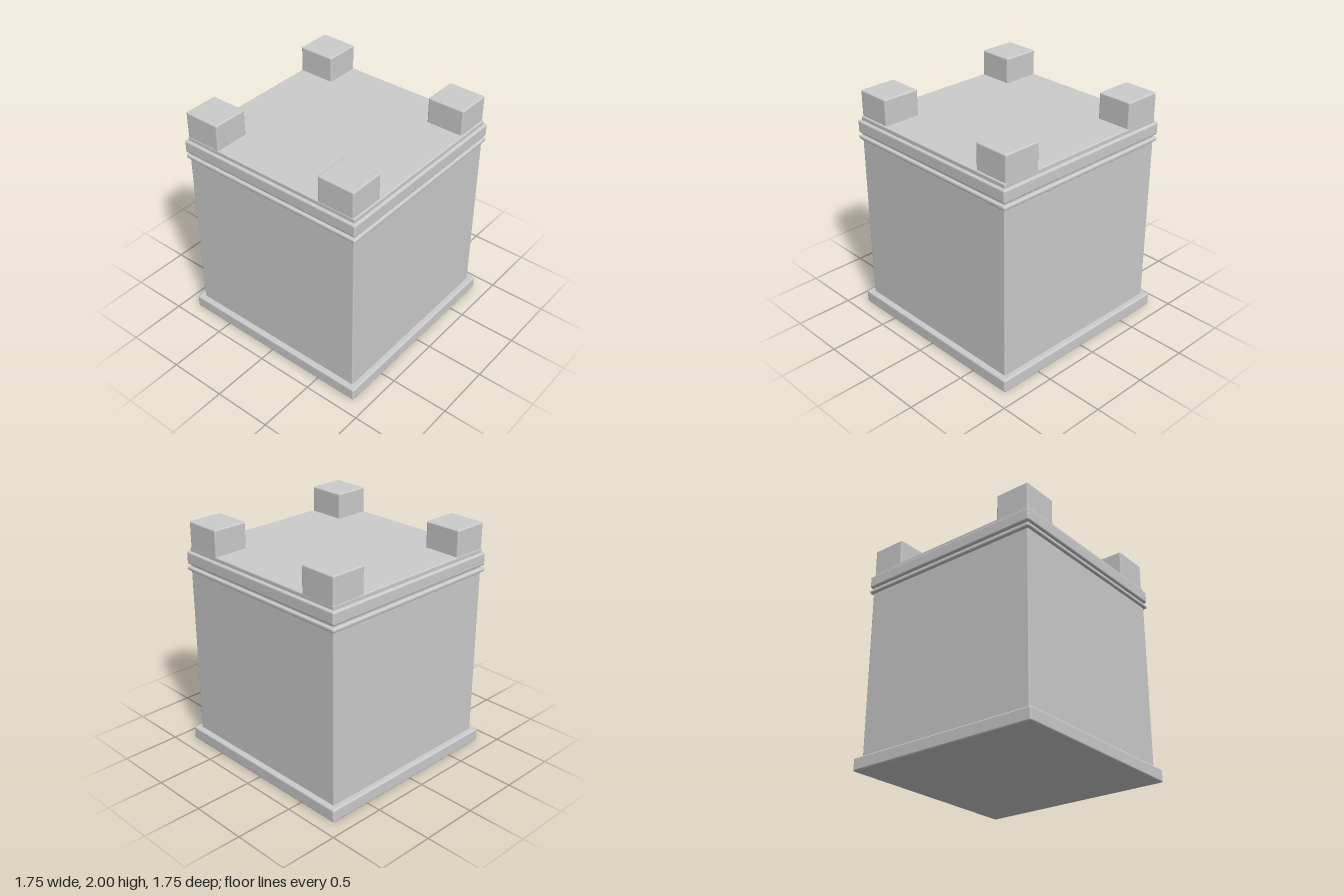
import * as THREE from 'three';
import { RoundedBoxGeometry } from 'three/addons/geometries/RoundedBoxGeometry.js';

export function createModel() {
  const model = new THREE.Group();
  model.name = 'cornerPostBox';
  const material = new THREE.MeshStandardMaterial({ color: 0xcccccc });

  // Soft-edged block spanning y0 to y1, centred on (x, z)
  function block(name, width, depth, y0, y1, radius, x = 0, z = 0) {
    const geometry = new RoundedBoxGeometry(width, y1 - y0, depth, 3, radius);
    const mesh = new THREE.Mesh(geometry, material);
    mesh.name = name;
    mesh.position.set(x, (y0 + y1) / 2, z);
    model.add(mesh);
  }

  // Stacked square layers: plinth, body and the trim around the top
  block('base', 1.75, 1.75, 0, 0.112, 0.015);
  block('body', 1.652, 1.652, 0.08, 1.78, 0.01);
  block('thinBand', 1.698, 1.698, 1.58, 1.616, 0.014);
  block('wideBand', 1.698, 1.698, 1.635, 1.745, 0.017);

  // Four posts standing on the top corners
  for (const [xName, x] of [['Right', -0.661], ['Left', 0.651]]) {
    for (const [zName, z] of [['back', -0.673], ['front', 0.671]]) {
      block(`${zName}${xName}Post`, 0.325, 0.305, 1.74, 2, 0.012, x, z);
    }
  }
  return model;
}
